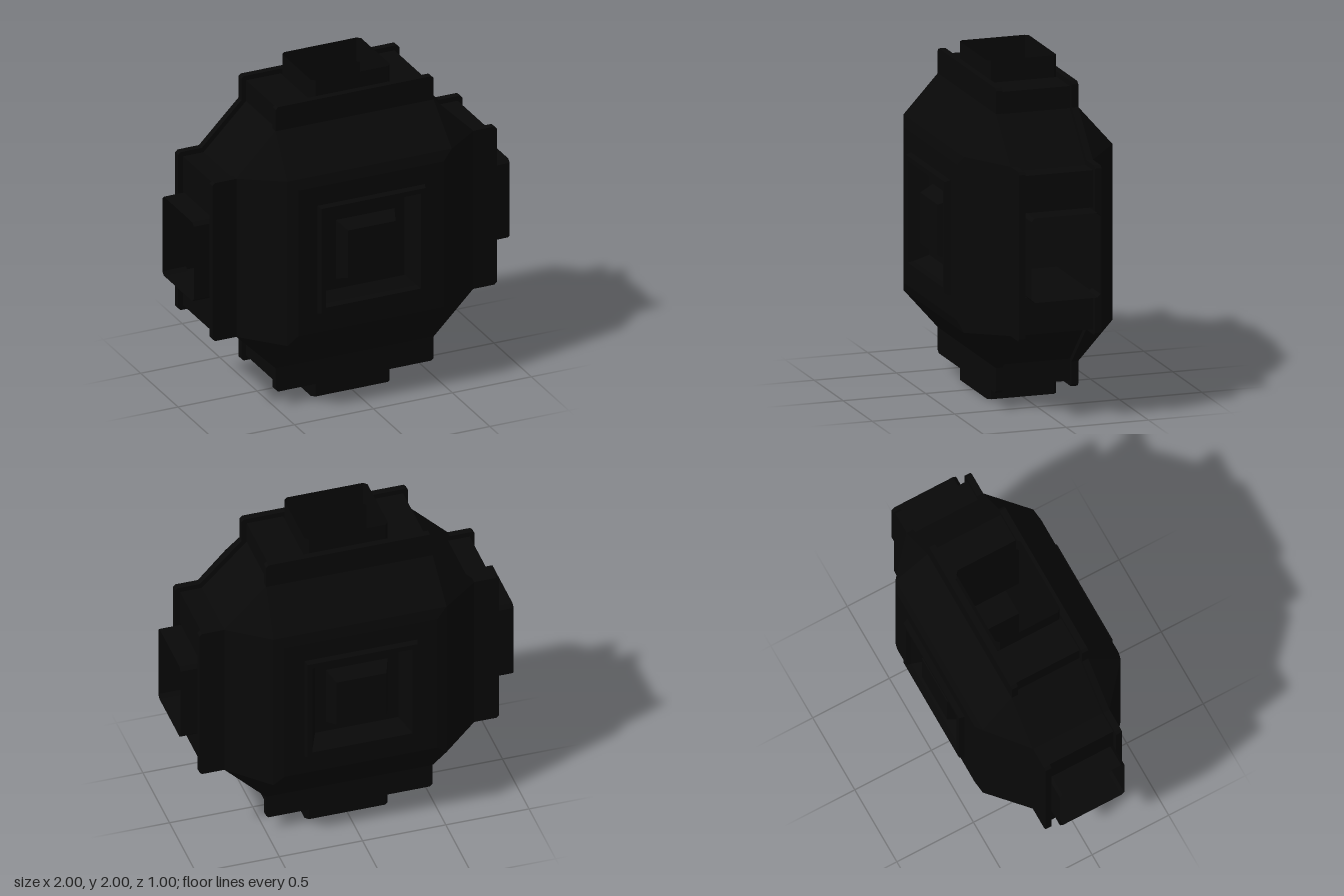
import * as THREE from 'three';

const hull = new THREE.MeshStandardMaterial({ color: 0x080808, side: THREE.DoubleSide });
hull.name = 'charcoal hull';

// Ring of eight corners: (a, b) and (b, a) in every quadrant
function ring([a, b, z]) {
  return [[a, -b], [a, b], [b, a], [-b, a], [-a, b], [-a, -b], [-b, -a], [b, -a]]
    .map(([x, y]) => new THREE.Vector3(x, y, z));
}

// Flat-faced loft through rings of points, skipping empty triangles
function loft(rings, capped) {
  const pos = [];
  const tri = (a, b, c) => {
    if (new THREE.Triangle(a, b, c).getArea() > 1e-7) {
      for (const p of [a, b, c]) pos.push(p.x, p.y, p.z);
    }
  };
  for (let r = 0; r < rings.length - 1; r++) {
    for (let i = 0; i < 8; i++) {
      const j = (i + 1) % 8, p = rings[r], q = rings[r + 1];
      tri(p[i], p[j], q[j]);
      tri(p[i], q[j], q[i]);
    }
  }
  const end = rings[rings.length - 1];
  if (capped) for (let i = 1; i < 7; i++) tri(end[0], end[i], end[i + 1]);
  const g = new THREE.BufferGeometry();
  g.setAttribute('position', new THREE.Float32BufferAttribute(pos, 3));
  g.computeVertexNormals();
  return g;
}

function prism(points, z0, z1) {
  const shape = new THREE.Shape(points.map(([x, y]) => new THREE.Vector2(x, y)));
  const g = new THREE.ExtrudeGeometry(shape, { depth: z1 - z0, bevelEnabled: false });
  return g.translate(0, 0, z0);
}

export function createModel() {
  const model = new THREE.Group();
  model.name = 'hubModule';
  const body = new THREE.Group();
  body.name = 'hub';
  body.position.y = 1;
  model.add(body);
  const add = (parent, name, geometry) => {
    const m = new THREE.Mesh(geometry, hull);
    m.name = name;
    parent.add(m);
  };

  // Stepped outline of the face plates, one quadrant turned four times
  const quarter = [[0.9, 0.485], [0.885, 0.5], [0.75, 0.5],
    [0.5, 0.75], [0.5, 0.885], [0.485, 0.9]];
  const outline = [];
  for (let k = 0; k < 4; k++) {
    const c = [1, 0, -1, 0][k], s = [0, 1, 0, -1][k];
    for (const [x, y] of quarter) outline.push([c * x - s * y, s * x + c * y]);
  }
  const plate = prism(outline, 0.21, 0.25);

  // Bulging face with flat corner facets, a framed recess and a raised centre
  const dome = loft([
    [0.75, 0.5, 0.25], [0.52, 0.52, 0.45], [0.46, 0.46, 0.47],
    [0.34, 0.34, 0.47], [0.33, 0.33, 0.5], [0.3, 0.3, 0.5], [0.29, 0.29, 0.47],
    [0.25, 0.25, 0.39], [0.185, 0.185, 0.39], [0.15, 0.15, 0.48],
  ].map(ring), true);
  for (const [name, turn] of [['front', 0], ['back', Math.PI]]) {
    const side = new THREE.Group();
    side.name = name + 'Side';
    side.rotation.y = turn;
    add(side, name + 'Plate', plate);
    add(side, name + 'Bulge', dome);
    body.add(side);
  }

  // Corner blocks, set back from the plate edges, leave two crossing tunnels
  const corner = prism([[0.25, 0.25], [0.87, 0.25], [0.87, 0.47], [0.74, 0.47],
    [0.47, 0.74], [0.47, 0.87], [0.25, 0.87]], -0.21, 0.21);

  // Thin collar with clipped corners at each tunnel mouth
  const mouth = [[0.25, -0.19], [0.25, 0.19], [0.23, 0.21], [-0.23, 0.21],
    [-0.25, 0.19], [-0.25, -0.19], [-0.23, -0.21], [0.23, -0.21]];
  const collar = loft([0.85, 1].map(
    (x) => mouth.map(([y, z]) => new THREE.Vector3(x, y, z))), false);
  for (let k = 0; k < 4; k++) {
    const arm = new THREE.Group();
    arm.name = 'arm' + (k + 1);
    arm.rotation.z = k * Math.PI / 2;
    add(arm, 'cornerBlock', corner);
    add(arm, 'collar', collar);
    body.add(arm);
  }
  return model;
}
